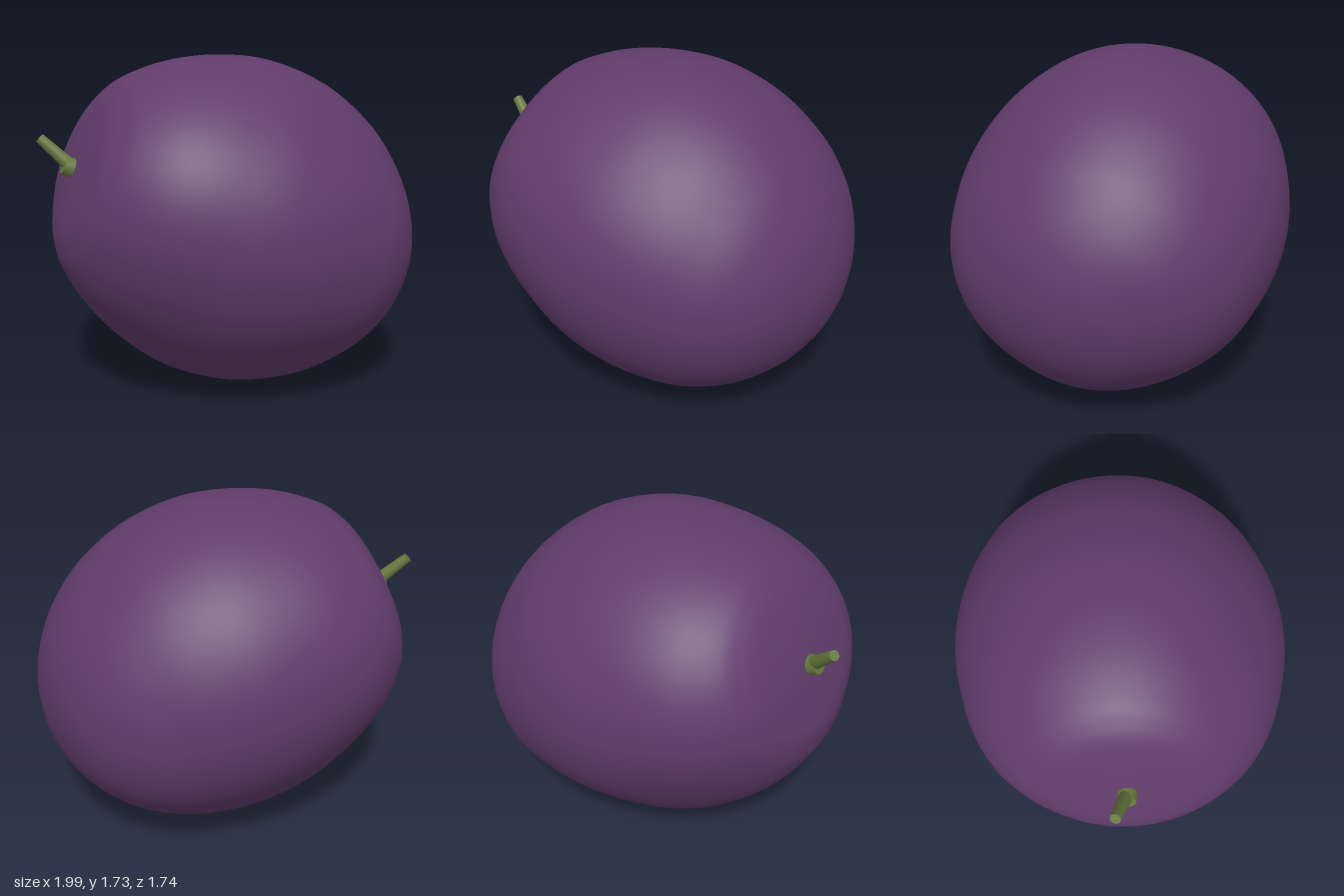
import * as THREE from 'three';
import { mergeVertices } from 'three/addons/utils/BufferGeometryUtils.js';

const skin = new THREE.MeshStandardMaterial({ color: 0x613c6b });
skin.name = 'purple skin';
const green = new THREE.MeshStandardMaterial({ color: 0x65783c });
green.name = 'green stem';

const CENTER = new THREE.Vector3(0.04, 0.87, 0);
const TILT = THREE.MathUtils.degToRad(68.5);

// Profile as [angle from the stem pole in degrees, radius], flattened round the stem
const PROFILE = [
  [0, 0.935], [8, 0.938], [15, 0.949], [21, 0.964], [26, 0.966], [33, 0.954],
  [46, 0.912], [62, 0.875], [80, 0.86], [100, 0.86], [118, 0.876],
  [132, 0.897], [146, 0.926], [160, 0.954], [172, 0.968], [180, 0.971],
];

// Shallow flats down the sides: [azimuth in degrees, depth, width in radians]
const FLATS = [[-135, 0.066, 0.5], [45, 0.032, 0.45], [135, 0.024, 0.45]];

// Extra fullness of the front and back shoulders
const SHOULDER = 0.035;

function fruitGeometry() {
  const points = PROFILE.map(([deg, r]) => {
    const a = THREE.MathUtils.degToRad(deg);
    return new THREE.Vector2(Math.sin(a) * r, Math.cos(a) * r);
  }).reverse();
  const smooth = new THREE.SplineCurve(points).getPoints(90);
  smooth.forEach((p) => { p.x = Math.max(p.x, 0); });
  smooth[0].x = smooth[smooth.length - 1].x = 0;

  let geo = new THREE.LatheGeometry(smooth, 96);
  geo.deleteAttribute('uv');
  geo.deleteAttribute('normal');
  geo = mergeVertices(geo, 1e-5);

  // press in the flats, strongest at the waist, and fill out the shoulders
  const pos = geo.attributes.position;
  const v = new THREE.Vector3();
  for (let i = 0; i < pos.count; i++) {
    v.fromBufferAttribute(pos, i);
    const waist = (v.x * v.x + v.z * v.z) / v.lengthSq();
    const azimuth = Math.atan2(v.z, v.x);
    let dip = 0;
    for (const [deg, depth, width] of FLATS) {
      const d = azimuth - THREE.MathUtils.degToRad(deg);
      const wrapped = Math.atan2(Math.sin(d), Math.cos(d));
      dip += depth * Math.exp(-((wrapped / width) ** 2));
    }
    const diagonal = 4 * waist * (1 - waist);
    const bulge = SHOULDER * diagonal * diagonal * Math.sin(azimuth) ** 2;
    v.multiplyScalar(1 - dip * waist + bulge);
    pos.setXYZ(i, v.x, v.y, v.z * 1.02);
  }
  geo.rotateZ(TILT);
  geo.translate(CENTER.x, CENTER.y, CENTER.z);
  geo.computeVertexNormals();
  return geo;
}

// Tapered rod between two points
function rod(name, from, to, r0, r1) {
  const dir = to.clone().sub(from);
  const mesh = new THREE.Mesh(new THREE.CylinderGeometry(r1, r0, dir.length(), 20), green);
  mesh.name = name;
  mesh.position.copy(from).add(to).multiplyScalar(0.5);
  mesh.quaternion.setFromUnitVectors(new THREE.Vector3(0, 1, 0), dir.normalize());
  return mesh;
}

export function createModel() {
  const group = new THREE.Group();
  group.name = 'fruit';

  const body = new THREE.Mesh(fruitGeometry(), skin);
  body.name = 'fruitBody';
  group.add(body);

  // stem with a flared foot
  const stem = new THREE.Group();
  stem.name = 'stem';
  stem.add(
    rod('stalk', new THREE.Vector3(-0.85, 1.215, 0.008), new THREE.Vector3(-0.98, 1.345, -0.045), 0.034, 0.026),
    rod('stemFoot', new THREE.Vector3(-0.82, 1.19, 0.014), new THREE.Vector3(-0.878, 1.212, 0.012), 0.052, 0.044),
  );
  group.add(stem);
  return group;
}
